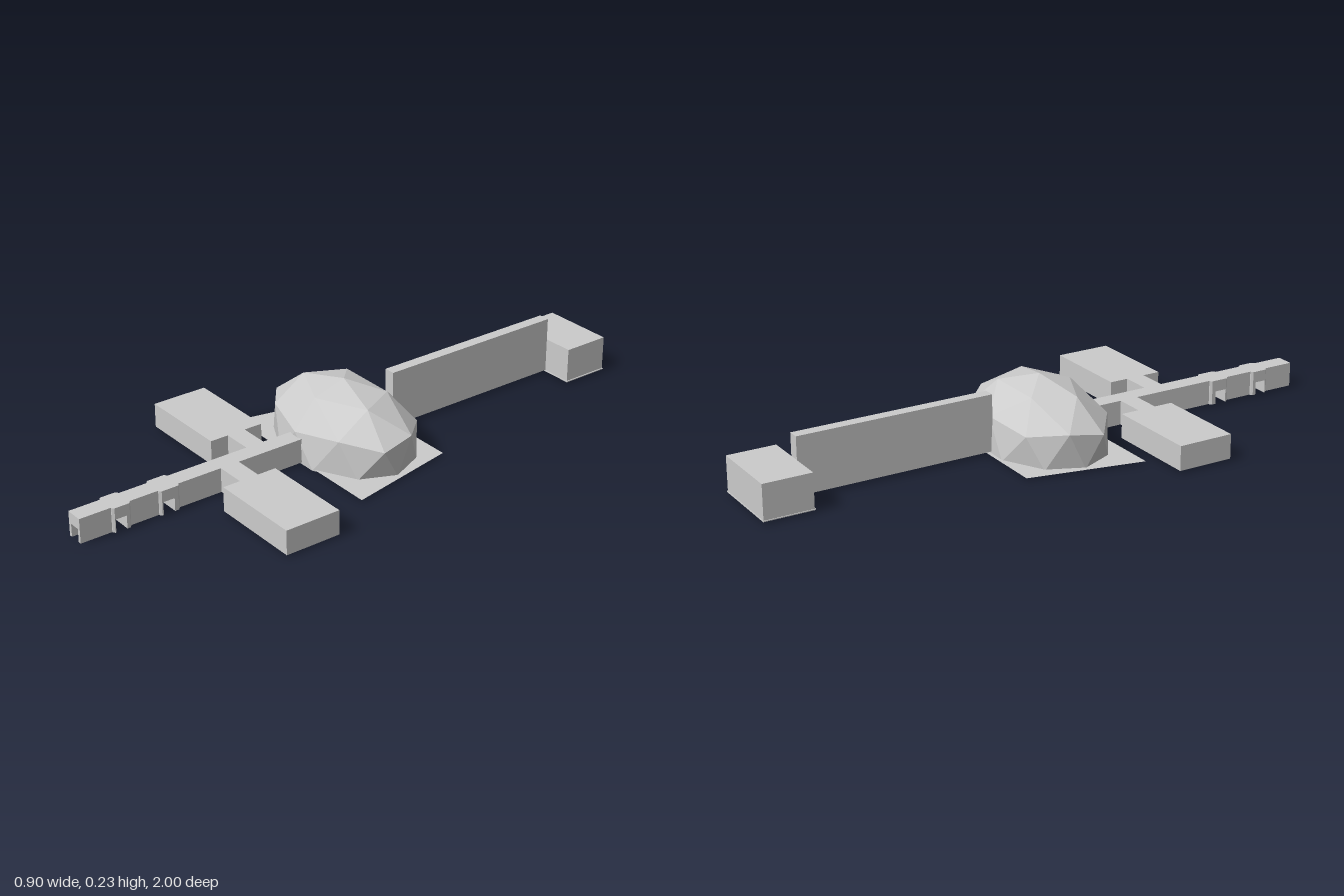
import * as THREE from 'three';

const material = new THREE.MeshStandardMaterial({ color: 0xcccccc, flatShading: true });
const sheetMaterial = new THREE.MeshStandardMaterial({ color: 0xcccccc, flatShading: true, side: THREE.DoubleSide });

const FLOOR = 0.006, ROOF = 0.088, ARCH = 0.05;

// Box given by its limits on each axis
function block(name, [x0, x1], [y0, y1], [z0, z1]) {
  const geometry = new THREE.BoxGeometry(x1 - x0, y1 - y0, z1 - z0);
  geometry.translate((x0 + x1) / 2, (y0 + y1) / 2, (z0 + z1) / 2);
  const mesh = new THREE.Mesh(geometry, material);
  mesh.name = name;
  return mesh;
}

// Slab from a plan outline mirrored across x = 0; half is a list of [x, z]
function slab(name, half, y0, y1) {
  const mirrored = half.map(([x, z]) => [-x, z]).reverse();
  const shape = new THREE.Shape([...half, ...mirrored].map(([x, z]) => new THREE.Vector2(x, z)));
  const geometry = new THREE.ExtrudeGeometry(shape, { depth: y1 - y0, bevelEnabled: false });
  geometry.rotateX(Math.PI / 2).translate(0, y1, 0);
  const mesh = new THREE.Mesh(geometry, material);
  mesh.name = name;
  return mesh;
}

// Faceted half geodesic dome built from rings
function dome() {
  const cz = 0.015;
  const at = (deg, r, h, rx = 0.33, rz = 0.215) => {
    const a = THREE.MathUtils.degToRad(deg);
    return [Math.sin(a) * r * rx, h * 0.23, cz + Math.cos(a) * r * rz];
  };
  const top = at(0, 0, 1), base = at(0, 0, 0);
  const upper = [], middle = [], lower = [];
  for (let k = 0; k < 5; k++) upper.push(at(72 * k, 0.526, 0.851));
  for (let k = 0; k < 10; k++) {
    middle.push(k % 2 ? at(36 * k, 0.851, 0.526) : at(36 * k, 0.894, 0.447));
    lower.push(at(18 + 36 * k, 1, 0, 0.272, 0.198));
  }
  const p = [];
  const tri = (...corners) => corners.forEach((c) => p.push(...c));
  for (let k = 0; k < 5; k++) {
    const u = upper[k], next = upper[(k + 1) % 5];
    const m0 = middle[(2 * k + 9) % 10], m1 = middle[2 * k], m2 = middle[2 * k + 1];
    tri(top, u, next);
    tri(u, m0, m1);
    tri(u, m1, m2);
    tri(u, m2, next);
  }
  for (let k = 0; k < 10; k++) {
    const n = (k + 1) % 10;
    tri(middle[k], lower[k], middle[n]);
    tri(middle[n], lower[k], lower[n]);
    tri(base, lower[n], lower[k]);
  }
  const geometry = new THREE.BufferGeometry();
  geometry.setAttribute('position', new THREE.Float32BufferAttribute(p, 3));
  geometry.computeVertexNormals();
  const mesh = new THREE.Mesh(geometry, material);
  mesh.name = 'dome';
  return mesh;
}

// Long entrance passage with two widened, arched bays
function passage() {
  const group = new THREE.Group();
  group.name = 'entrancePassage';
  const w = 0.03, b = 0.04, c = 0.006;
  const bays = [[0.66, 0.73, 0.68, 0.72], [0.83, 0.893, 0.847, 0.885]];
  const roof = [[w, 0.19]];
  let piece = [[w, 0.19]];
  for (const [z0, z1, a0, a1] of bays) {
    roof.push([w, z0], [b - c, z0], [b, z0 + c], [b, z1 - c], [b - c, z1], [w, z1]);
    piece.push([w, z0], [b - c, z0], [b, z0 + c], [b, a0]);
    group.add(slab('passageWalls', piece, FLOOR, ARCH));
    piece = [[b, a1], [b, z1 - c], [b - c, z1], [w, z1]];
  }
  // Doorway notch in the front end
  piece.push([w, 1], [0.019, 1], [0.019, 0.95]);
  roof.push([w, 1]);
  group.add(slab('doorwayWalls', piece, FLOOR, ARCH), slab('passageRoof', roof, ARCH, ROOF));
  return group;
}

export function createModel() {
  const model = new THREE.Group();
  model.name = 'domeBase';
  model.add(dome(), passage());

  // Trapezoid ground sheet under the dome
  const plan = new THREE.Shape([[0.328, 0.2], [0.25, -0.185], [-0.25, -0.185], [-0.328, 0.2]]
    .map(([x, z]) => new THREE.Vector2(x, z)));
  const sheet = new THREE.Mesh(new THREE.ShapeGeometry(plan).rotateX(Math.PI / 2), sheetMaterial);
  sheet.position.y = 0.005;
  sheet.name = 'groundSheet';
  model.add(sheet);

  // Side rooms with their short connecting corridors
  const y = [FLOOR, ROOF];
  model.add(
    block('rightRoom', [-0.45, -0.13], y, [0.243, 0.433]),
    block('rightCorridor', [-0.13, -0.03], y, [0.306, 0.37]),
    block('leftRoom', [0.13, 0.447], y, [0.376, 0.566]),
    block('leftCorridor', [0.03, 0.13], y, [0.44, 0.506]),
  );

  // Tall rear corridor ending in a room on a thin slab
  model.add(
    block('rearCorridor', [-0.019, 0.019], [0.01, 0.2], [-0.835, -0.168]),
    block('rearRoom', [-0.129, 0.125], [0.01, 0.125], [-0.998, -0.835]),
    block('rearRoomSlab', [-0.132, 0.129], [0.007, 0.01], [-1, -0.832]),
  );
  return model;
}
